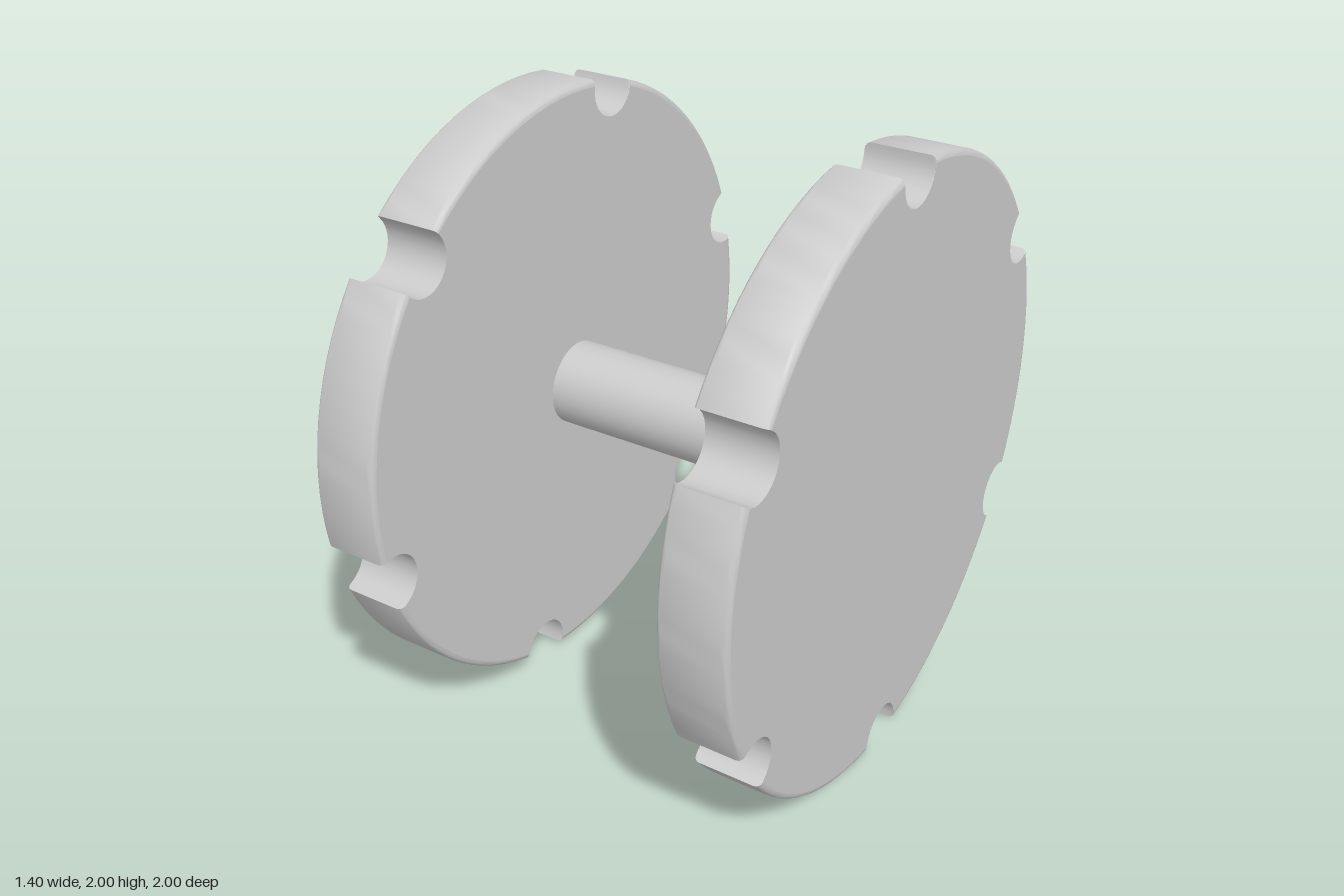
import * as THREE from 'three';
import { toCreasedNormals, mergeGeometries } from 'three/addons/utils/BufferGeometryUtils.js';

const RIM = 1, HALF = 0.11, BEVEL = 0.02;      // disc radius, half thickness, edge rounding
const NOTCHES = 6, NOTCH_R = 0.1, NOTCH_C = 0.98; // scallops cut into the rim
const ARC = 14, RUN = 14;

// Notched circle of radius R as [y, z] points, running from +y towards +z
function outline(R, start) {
  const d = (R * R + NOTCH_C ** 2 - NOTCH_R ** 2) / (2 * NOTCH_C);
  const l = Math.sqrt(R * R - d * d);
  const half = Math.atan2(l, d), phi = Math.atan2(l, d - NOTCH_C);
  const step = Math.PI * 2 / NOTCHES;
  const pts = [];
  for (let k = 0; k < NOTCHES; k++) {
    const a = start + k * step;
    for (let j = 0; j <= ARC; j++) {
      const psi = -phi - (2 * Math.PI - 2 * phi) * j / ARC;
      const u = NOTCH_C + NOTCH_R * Math.cos(psi), v = NOTCH_R * Math.sin(psi);
      pts.push([u * Math.cos(a) - v * Math.sin(a), u * Math.sin(a) + v * Math.cos(a)]);
    }
    for (let j = 1; j < RUN; j++) {
      const t = a + half + (step - 2 * half) * j / RUN;
      pts.push([R * Math.cos(t), R * Math.sin(t)]);
    }
  }
  return pts;
}

function toGeometry(positions) {
  const g = new THREE.BufferGeometry();
  g.setAttribute('position', new THREE.Float32BufferAttribute(positions, 3));
  g.computeVertexNormals();
  return g;
}

// Disc across x: rounded rim, sharp notches, flat faces
function discGeometry(start) {
  const rings = [];
  for (const side of [-1, 1]) {
    for (let i = 0; i <= 4; i++) {
      const t = (side < 0 ? i : 4 - i) / 4 * Math.PI / 2;
      const x = side * (HALF - BEVEL + BEVEL * Math.cos(t));
      rings.push(outline(RIM - BEVEL + BEVEL * Math.sin(t), start).map(([y, z]) => [x, y, z]));
    }
  }
  const n = rings[0].length, wall = [], caps = [];
  for (let i = 0; i < rings.length - 1; i++) {
    for (let j = 0; j < n; j++) {
      const k = (j + 1) % n;
      const a = rings[i][j], b = rings[i][k], c = rings[i + 1][k], d = rings[i + 1][j];
      wall.push(...a, ...b, ...c, ...a, ...c, ...d);
    }
  }
  const first = rings[0], last = rings[rings.length - 1];
  for (let j = 0; j < n; j++) {
    const k = (j + 1) % n;
    caps.push(HALF, 0, 0, ...last[j], ...last[k]);
    caps.push(-HALF, 0, 0, ...first[k], ...first[j]);
  }
  return mergeGeometries([toCreasedNormals(toGeometry(wall), 0.6), toGeometry(caps)]);
}

export function createModel() {
  const model = new THREE.Group();
  model.name = 'notchedDiscSpool';
  const material = new THREE.MeshStandardMaterial({ color: 0xcccccc });

  const add = (name, geometry, x) => {
    const mesh = new THREE.Mesh(geometry, material);
    mesh.name = name;
    mesh.position.set(x, 1, 0);
    model.add(mesh);
  };

  // The two discs are turned against each other
  add('leftDisc', discGeometry(0), 0.59);
  add('rightDisc', discGeometry(Math.PI / 4), -0.59);

  // Bar joining the discs
  add('axle', new THREE.CylinderGeometry(0.14, 0.14, 0.98, 32).rotateZ(Math.PI / 2), 0);

  return model;
}
